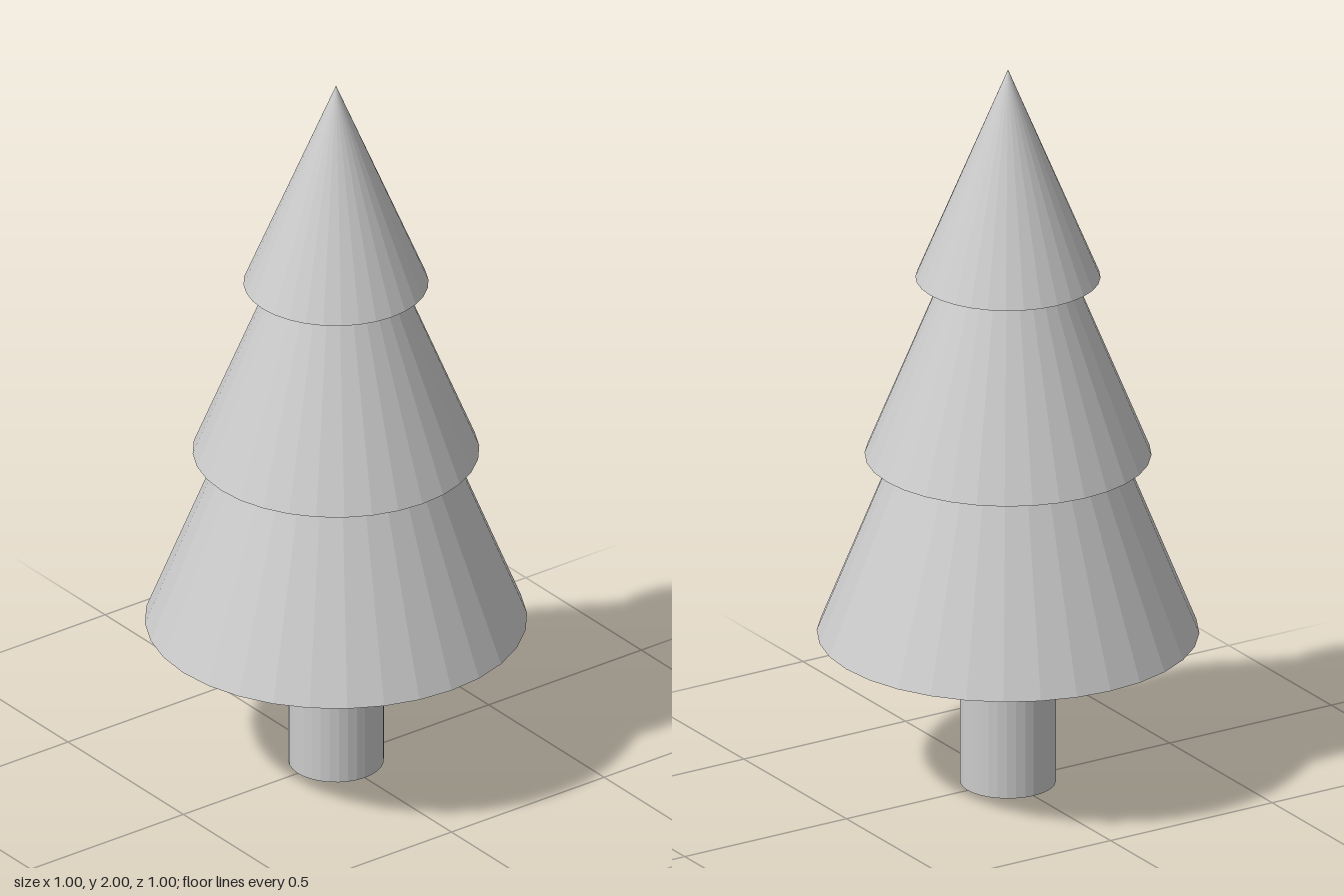
import * as THREE from 'three';

const SIDES = 32;

export function createModel() {
  const tree = new THREE.Group();
  tree.name = 'pineTree';
  const material = new THREE.MeshStandardMaterial({ color: 0xcccccc, flatShading: true });

  // Adds a part standing on the given base height
  const addPart = (name, geometry, height, base) => {
    const mesh = new THREE.Mesh(geometry, material);
    mesh.name = name;
    mesh.position.y = base + height / 2;
    tree.add(mesh);
  };

  // Trunk
  addPart('trunk', new THREE.CylinderGeometry(0.125, 0.125, 0.42, SIDES), 0.42, 0);

  // Overlapping foliage cones, each tip hidden in the tier above
  const tiers = [
    ['lowerFoliage', 0.5, 1.25, 0.42],
    ['middleFoliage', 0.375, 0.92, 0.92],
    ['upperFoliage', 0.242, 0.583, 1.417],
  ];
  for (const [name, radius, height, base] of tiers) {
    addPart(name, new THREE.ConeGeometry(radius, height, SIDES), height, base);
  }

  return tree;
}
